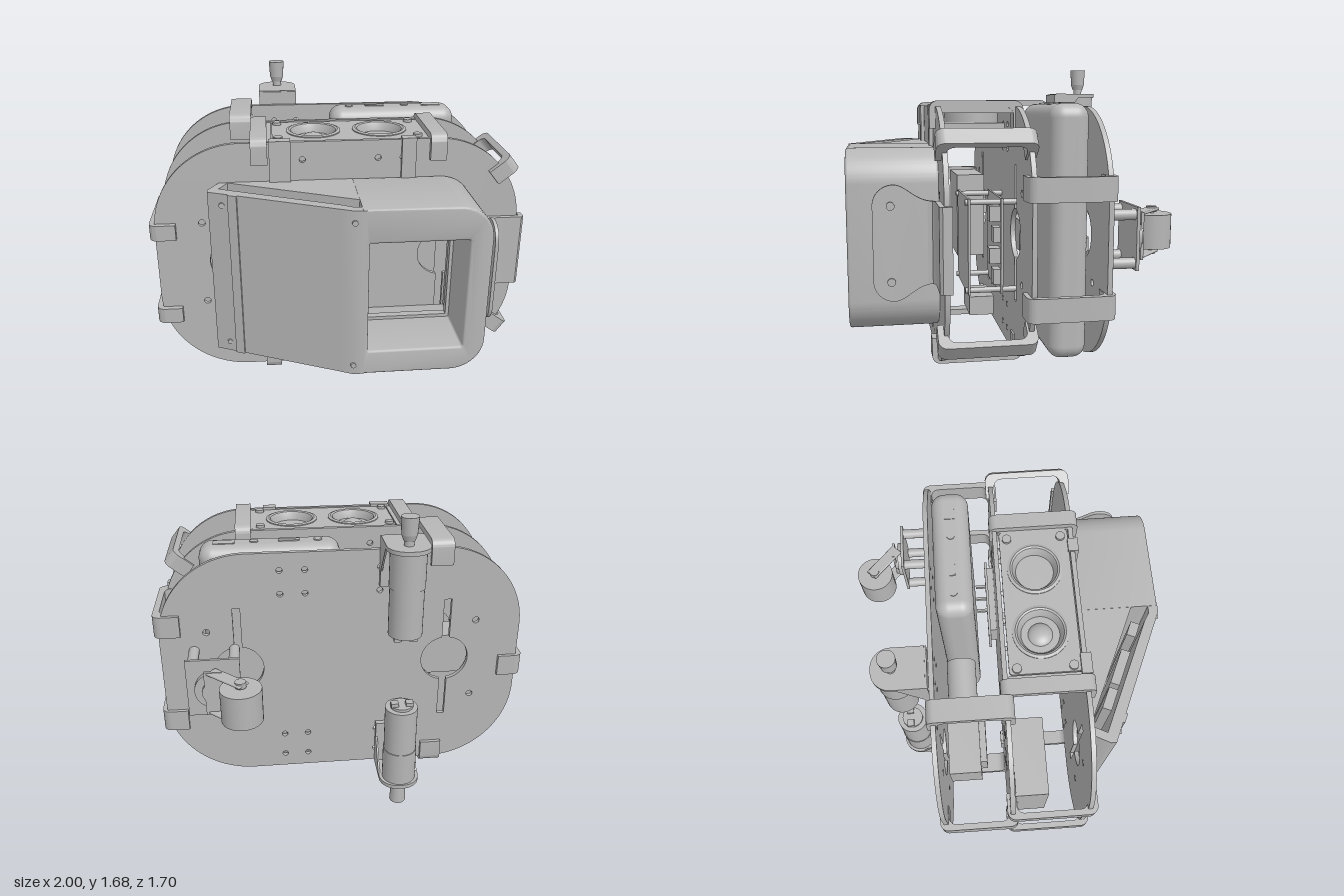
import * as THREE from 'three';
import { toCreasedNormals } from 'three/addons/utils/BufferGeometryUtils.js';
import { RoundedBoxGeometry } from 'three/addons/geometries/RoundedBoxGeometry.js';

const grey = new THREE.MeshStandardMaterial({ color: 0xb6b6b6 });
grey.name = 'plain grey';

export function createModel() {
  const root = new THREE.Group();
  root.name = 'wheeledRobot';

  const add = (name, geo, x = 0, y = 0, z = 0, parent = root) => {
    const m = new THREE.Mesh(geo, grey);
    m.name = name;
    m.position.set(x, y, z);
    parent.add(m);
    return m;
  };
  // Box from its min and max corners
  const box = (name, x0, x1, y0, y1, z0, z1, parent = root) =>
    add(name, new THREE.BoxGeometry(x1 - x0, y1 - y0, z1 - z0), (x0 + x1) / 2, (y0 + y1) / 2, (z0 + z1) / 2, parent);
  // Cylinder along a chosen axis
  const rod = (name, axis, r, len, x, y, z, parent = root, r2 = r) => {
    const g = new THREE.CylinderGeometry(r, r2, len, 32);
    if (axis === 'z') g.rotateX(Math.PI / 2);
    if (axis === 'x') g.rotateZ(-Math.PI / 2);
    return add(name, g, x, y, z, parent);
  };
  const poly = (pts) => new THREE.Shape(pts.map(([x, y]) => new THREE.Vector2(x, y)));
  const extrude = (shape, depth, extra = {}) =>
    toCreasedNormals(new THREE.ExtrudeGeometry(shape, { depth, bevelEnabled: false, curveSegments: 16, ...extra }), 0.6);
  // Prism standing along y from a plan outline in (x, z)
  const prism = (name, pts, y0, y1) =>
    add(name, extrude(poly(pts.map(([x, z]) => [x, -z])), y1 - y0).rotateX(-Math.PI / 2), 0, y0, 0);
  // Rectangle with radii in the order: lower left, lower right, upper right, upper left
  const roundRect = (x0, x1, y0, y1, [a, b, c, d], S = THREE.Shape) => {
    const s = new S();
    s.moveTo(x0 + a, y0);
    s.lineTo(x1 - b, y0);
    if (b) s.absarc(x1 - b, y0 + b, b, -Math.PI / 2, 0);
    s.lineTo(x1, y1 - c);
    if (c) s.absarc(x1 - c, y1 - c, c, 0, Math.PI / 2);
    s.lineTo(x0 + d, y1);
    if (d) s.absarc(x0 + d, y1 - d, d, Math.PI / 2, Math.PI);
    s.lineTo(x0, y0 + a);
    if (a) s.absarc(x0 + a, y0 + a, a, Math.PI, Math.PI * 1.5);
    return s;
  };
  const circle = (x, y, r) => new THREE.Path().absarc(x, y, r, 0, Math.PI * 2, true);

  // Three deck plates with bolt holes and keyhole slots
  const deck = roundRect(-0.965, 0.965, 0.165, 1.465, [0.46, 0.46, 0.46, 0.46]);
  for (const x of [-0.32, -0.19, 0.2, 0.33])
    for (const y of [0.245, 0.38, 1.24, 1.37]) deck.holes.push(circle(x, y, 0.016));
  for (const x of [-0.72, 0.72])
    for (const y of [0.58, 1.04]) deck.holes.push(circle(x, y, 0.018));
  for (const s of [-1, 1]) {
    const c = s * 0.56, w = 0.02, r = 0.13, a = Math.asin(w / r);
    const p = new THREE.Path();
    p.moveTo(c - w, 0.46);
    p.lineTo(c + w, 0.46);
    p.absarc(c, 0.815, r, -Math.PI / 2 + a, Math.PI / 2 - a);
    p.lineTo(c + w, 1.17);
    p.lineTo(c - w, 1.17);
    p.absarc(c, 0.815, r, Math.PI / 2 + a, Math.PI * 1.5 - a);
    deck.holes.push(p);
  }
  const deckGeo = extrude(deck, 0.025, { curveSegments: 24 });
  add('frontDeck', deckGeo, 0, 0, 0.375);
  add('middleDeck', deckGeo, 0, 0, -0.03);
  add('rearDeck', deckGeo, 0, 0, -0.395);

  // C-shaped spacer clips hooked over neighbouring decks
  const clip = (name, x, y, angle, z0, z1, width) => {
    const s = roundRect(z0, z1, -0.11, 0.028, [0.01, 0.01, 0.045, 0.045]);
    const h = roundRect(z0 + 0.05, z1 - 0.05, -0.111, -0.005, [0, 0, 0.04, 0.04]).getPoints(8);
    // walk the outline as one open C
    const c = new THREE.Shape();
    const out = s.getPoints(8).filter((p) => p.y > -0.109);
    const start = out.findIndex((p) => p.x > z1 - 0.001);
    const ring = out.slice(start).concat(out.slice(0, start)).filter((p) => p.y > -0.1);
    c.moveTo(z1, -0.11);
    ring.forEach((p) => c.lineTo(p.x, p.y));
    c.lineTo(z0, -0.11);
    c.lineTo(z0 + 0.05, -0.11);
    h.filter((p) => p.y > -0.1).reverse().forEach((p) => c.lineTo(p.x, p.y));
    c.lineTo(z1 - 0.05, -0.11);
    const g = extrude(c, width).translate(0, 0, -width / 2).rotateY(-Math.PI / 2);
    add(name, g, x, y, 0).rotation.z = angle;
  };
  const H = Math.PI / 2;
  [[-0.965, 1.0, H], [-0.965, 0.51, H], [-0.37, 0.165, 2 * H], [0.51, 0.165, 2 * H], [0.51, 1.465, 0],
    [-0.41, 1.465, 0], [0.9, 1.315, -0.9], [0.92, 0.34, -2.2]]
    .forEach(([x, y, a]) => clip('frontClip', x, y, a, -0.045, 0.43, 0.085));
  [[-0.972, 0.76, H], [0.962, 1.085, -H], [0.962, 0.52, -H], [-0.51, 1.48, 0], [-0.51, 0.165, 2 * H]]
    .forEach(([x, y, a]) => clip('rearClip', x, y, a, -0.415, 0.018, 0.118));

  // Front hood: windowed block, sloping wedge and slotted cover
  const hood = roundRect(0.08, 0.69, 0.37, 1.25, [0, 0.16, 0.16, 0]);
  hood.holes.push(roundRect(0.09, 0.6, 0.48, 1.1, [0.02, 0.02, 0.02, 0.02], THREE.Path));
  add('hoodBlock', extrude(hood, 0.42, { bevelEnabled: true, bevelSize: 0.012, bevelThickness: 0.012, bevelSegments: 3 }), 0, 0, 0.41);
  const rim = roundRect(0.09, 0.6, 0.48, 1.1, [0, 0, 0, 0]);
  rim.holes.push(roundRect(0.13, 0.57, 0.51, 1.07, [0, 0, 0, 0], THREE.Path));
  add('windowRim', extrude(rim, 0.04), 0, 0, 0.5);
  prism('hoodWedge', [[-0.59, 0.4], [0.08, 0.4], [0.08, 0.705]], 0.36, 1.26);
  prism('hoodCover', [[-0.67, 0.5], [-0.62, 0.405], [-0.575, 0.41], [-0.615, 0.49], [-0.02, 0.76], [0.03, 0.79],
    [0.085, 0.79], [0.085, 0.842], [0.03, 0.842], [-0.04, 0.81], [-0.67, 0.53]], 0.36, 1.26);
  prism('coverRail', [[-0.565, 0.57], [-0.52, 0.59], [-0.525, 0.605], [-0.57, 0.585]], 0.36, 1.26);
  [[-0.43, 0.53, 0.12], [-0.26, 0.605, 0.2], [-0.05, 0.7, 0.08]].forEach(([x, z, w]) => {
    const m = add('slotInsert', new THREE.BoxGeometry(w, 0.84, 0.05), x, 0.81, z);
    m.rotation.y = -0.42;
  });
  for (const y of [0.415, 1.2]) {
    rod('coverScrew', 'z', 0.014, 0.02, -0.6, y, 0.56);
    rod('hoodScrew', 'z', 0.014, 0.02, 0.03, y, 0.84);
  }

  // Side strap: rounded flange beside the hood, foot over the deck edge
  const flange = new THREE.Shape();
  flange.moveTo(0.43, 0.62);
  flange.bezierCurveTo(0.52, 0.62, 0.56, 0.54, 0.62, 0.54);
  flange.absarc(0.62, 0.64, 0.1, -H, 0);
  flange.absarc(0.62, 1.0, 0.1, 0, H);
  flange.bezierCurveTo(0.56, 1.1, 0.52, 1.02, 0.43, 1.02);
  add('strapFlange', extrude(flange, 0.018).rotateY(-H), 0.77, 0, 0);
  prism('strapFoot', [[0.752, 0.46], [0.77, 0.46], [0.775, 0.438], [0.795, 0.425], [0.985, 0.425], [1.0, 0.41],
    [1.0, 0.365], [0.975, 0.365], [0.975, 0.4], [0.79, 0.4], [0.762, 0.415]], 0.62, 1.02);
  for (const y of [0.635, 1.0]) rod('strapScrew', 'x', 0.02, 0.08, 0.74, y, 0.635);

  // Twin range sensor set in the top
  const face = roundRect(-0.34, 0.46, -0.37, -0.005, [0.02, 0.02, 0.02, 0.02]);
  face.holes.push(circle(-0.12, -0.18, 0.135), circle(0.235, -0.18, 0.135));
  add('sensorFace', extrude(face, 0.02).rotateX(-H), 0, 1.44, 0);
  box('sensorBody', -0.32, 0.44, 1.34, 1.38, 0.03, 0.35);
  for (const x of [-0.12, 0.235]) {
    const cup = [[0.145, 0], [0.145, 0.085], [0.13, 0.09], [0.12, 0.085], [0.1, 0.04], [0.1, 0]];
    add('sensorRing', toCreasedNormals(new THREE.LatheGeometry(cup.map(([r, y]) => new THREE.Vector2(r, y)), 40), 0.5), x, 1.38, 0.18);
    rod('sensorLens', 'y', 0.105, 0.04, x, 1.4, 0.18);
  }
  add('sensorDome', new THREE.SphereGeometry(0.07, 32, 12, 0, Math.PI * 2, 0, H), -0.12, 1.4, 0.18).scale.y = 0.7;
  for (const x of [-0.31, 0.415])
    for (const z of [0.045, 0.33]) rod('sensorScrew', 'y', 0.024, 0.02, x, 1.465, z);
  for (const [x0, x1] of [[-0.36, -0.25], [0.32, 0.395]]) {
    box('sensorTab', x0, x1, 1.24, 1.47, 0.4, 0.42);
    box('sensorTabTop', x0, x1, 1.45, 1.475, 0.365, 0.42);
  }
  for (const x of [-0.39, 0.505]) box('sensorSideBar', x - 0.045, x + 0.045, 1.43, 1.46, 0, 0.38);

  // Power pack between the rear decks
  add('powerPack', new RoundedBoxGeometry(0.73, 1.3, 0.2, 6, 0.07), 0.37, 0.83, -0.25);
  for (const x of [0.12, 0.45]) rod('packButton', 'y', 0.022, 0.008, x, 1.482, -0.25);
  box('packSocket', 0.215, 0.325, 1.478, 1.486, -0.265, -0.235);
  box('packDisplay', 0.55, 0.66, 1.478, 1.484, -0.28, -0.225);

  // Electronics between the decks
  box('controlBox', -0.87, -0.45, 0.5, 1.03, 0.005, 0.18);
  for (const z of [0.06, 0.23]) box('circuitBoard', 0.12, 0.57, 0.5, 1.0, z, z + 0.012);
  for (const x of [0.15, 0.54])
    for (const y of [0.52, 0.98]) rod('boardPost', 'z', 0.015, 0.27, x, y, 0.12);
  for (let i = 0; i < 4; i++) box('boardChip', 0.48, 0.56, 0.55 + i * 0.11, 0.63 + i * 0.11, 0.07, 0.11 + 0.02 * (i % 2));
  box('rearBoard', 0.1, 0.58, 0.7, 0.9, -0.08, -0.065);
  for (const x of [0.3, 0.38, 0.46]) box('boardPin', x, x + 0.015, 0.78, 0.8, -0.14, -0.07);
  box('boardSpacer', 0.14, 0.55, 0.72, 0.88, -0.065, -0.03);
  box('lowerModule', 0.2, 0.45, 0.36, 0.46, 0.09, 0.22);
  box('servoBoard', -0.71, -0.33, 0.7, 0.93, -0.345, -0.17);
  box('servoCase', -0.65, -0.34, 0.72, 0.91, -0.25, -0.135);
  rod('servoMotor', 'x', 0.085, 0.32, -0.19, 0.815, -0.255);

  // Drive motors, mirrored about the mid height
  for (const s of [1, -1]) {
    const g = new THREE.Group();
    g.name = s > 0 ? 'upperMotor' : 'lowerMotor';
    g.position.set(-0.295, 0.85, 0);
    if (s < 0) g.rotation.z = Math.PI;
    root.add(g);
    rod('gearbox', 'y', 0.092, 0.2, 0, 0.58, -0.57, g);
    rod('motorCan', 'y', 0.088, 0.26, 0, 0.35, -0.57, g);
    rod('motorCap', 'y', 0.06, 0.02, 0, 0.215, -0.57, g);
    for (const x of [-0.04, 0.04]) box('terminal', x - 0.02, x + 0.02, 0.185, 0.21, -0.6, -0.56, g);
    rod('shaft', 'y', 0.025, 0.08, 0, 0.71, -0.57, g);
    rod('coupler', 'y', 0.045, 0.09, 0, 0.795, -0.57, g, 0.04);
    rod('couplerBase', 'y', 0.04, 0.03, 0, 0.735, -0.57, g, 0.03);
    // bracket: shelf plus tapering leg against the deck
    const shelf = roundRect(-0.11, 0.11, 0.405, 0.67, [0, 0, 0.1, 0.1]);
    add('motorShelf', extrude(shelf, 0.022).rotateX(-H), 0, 0.672, 0, g);
    box('motorLeg', -0.11, 0.11, 0.42, 0.69, -0.425, -0.395, g);
    for (const x of [-0.11, 0.1]) {
      const cheek = poly([[-0.41, 0.69], [-0.56, 0.69], [-0.42, 0.5]]);
      add('motorCheek', extrude(cheek, 0.01).rotateY(-H), x + 0.01, 0, 0, g);
    }
  }

  // Swivel caster at the back
  for (const x of [0.58, 0.79])
    for (const y of [0.69, 0.935]) rod('casterPost', 'z', 0.028, 0.18, x, y, -0.478);
  box('casterPlate', 0.55, 0.825, 0.655, 0.975, -0.578, -0.562);
  rod('casterSwivel', 'z', 0.1, 0.03, 0.685, 0.813, -0.592);
  rod('casterHub', 'z', 0.06, 0.03, 0.685, 0.813, -0.615);
  box('casterBridge', 0.64, 0.73, 0.69, 0.935, -0.635, -0.62);
  for (const y of [0.7, 0.925]) {
    const arm = add('casterArm', new RoundedBoxGeometry(0.23, 0.014, 0.07, 3, 0.006), 0.612, y, -0.685);
    arm.rotation.y = -0.75;
    rod('axleNut', 'y', 0.028, 0.03, 0.545, y, -0.745);
  }
  rod('casterWheel', 'y', 0.105, 0.18, 0.545, 0.813, -0.745);
  rod('casterAxle', 'y', 0.015, 0.25, 0.545, 0.813, -0.745);

  return root;
}
